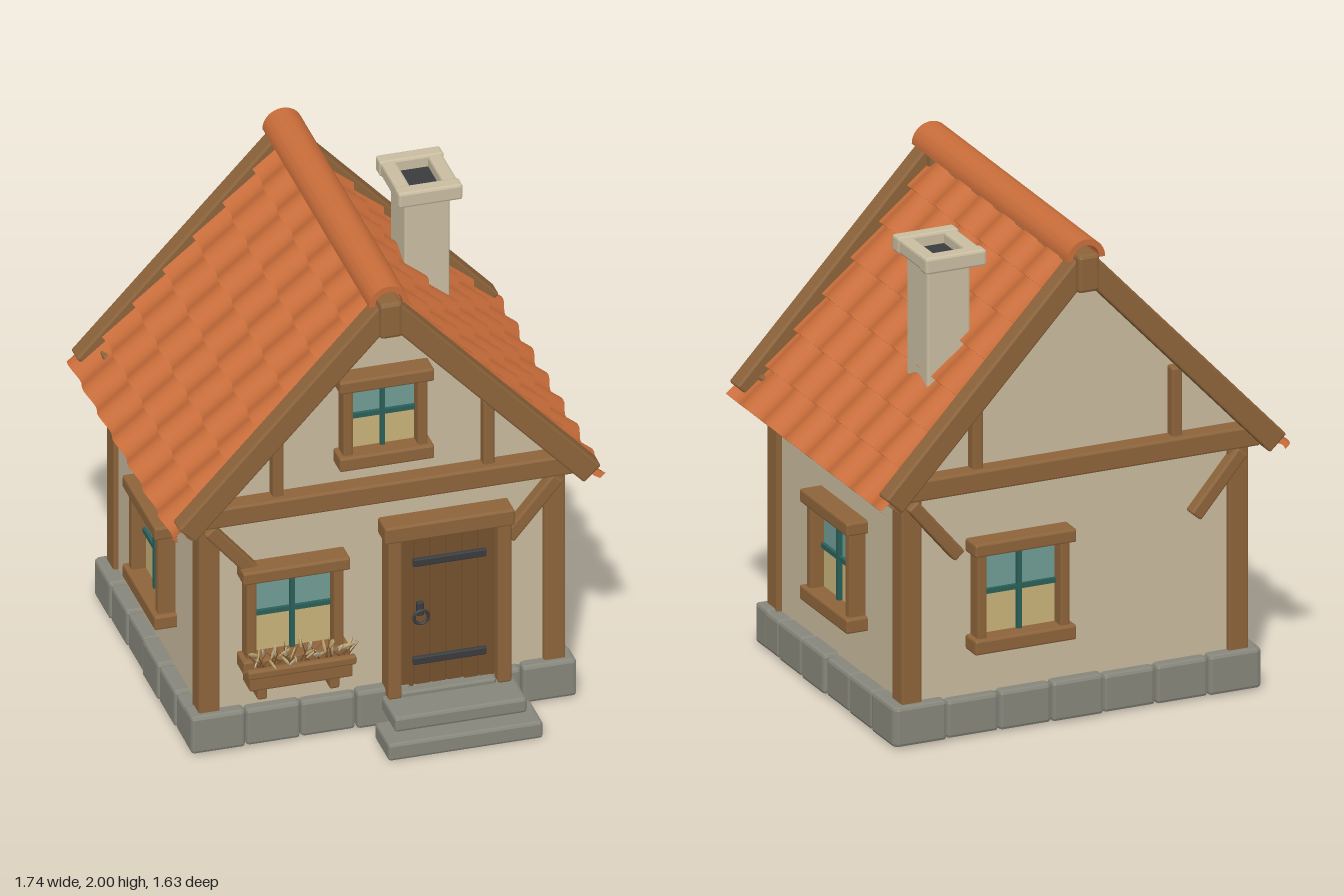
import * as THREE from 'three';
import { toCreasedNormals } from 'three/addons/utils/BufferGeometryUtils.js';
import { RoundedBoxGeometry } from 'three/addons/geometries/RoundedBoxGeometry.js';

const material = (name, color) => {
  const m = new THREE.MeshStandardMaterial({ color });
  m.name = name;
  return m;
};
const M = {
  timber: material('timber', 0x8d643a),
  door: material('dark wood', 0x74502e),
  tile: material('roof tile', 0xc96d3a),
  plaster: material('plaster', 0xc8b99c),
  stone: material('grey stone', 0x87867b),
  chimney: material('pale stone', 0xc9bda1),
  glass: material('glass', 0x6f9c94),
  curtain: material('curtain', 0xc8b27a),
  glazing: material('glazing bar', 0x2b6059),
  iron: material('iron', 0x3a3b3e),
};
M.tile.side = THREE.DoubleSide;

const MID = -0.08;        // z of the house centre
const PITCH = 0.818;      // roof slope angle
const ROOF_Y = 1.9;       // height where the two slopes meet
const ROOF_LEN = 1.235;

function group(parent, name, x = 0, y = 0, z = 0) {
  const g = new THREE.Group();
  g.name = name;
  g.position.set(x, y, z);
  parent.add(g);
  return g;
}
function add(parent, name, geometry, mat) {
  const mesh = new THREE.Mesh(geometry, mat);
  mesh.name = name;
  parent.add(mesh);
  return mesh;
}
// Box given by its limits; bevel > 0 chamfers the edges
function box(parent, name, mat, [x0, x1], [y0, y1], [z0, z1], bevel = 0.008) {
  const s = [x1 - x0, y1 - y0, z1 - z0];
  const geo = bevel ? new RoundedBoxGeometry(...s, 1, bevel) : new THREE.BoxGeometry(...s);
  if (bevel) geo.computeVertexNormals();
  const mesh = add(parent, name, geo, mat);
  mesh.position.set((x0 + x1) / 2, (y0 + y1) / 2, (z0 + z1) / 2);
  return mesh;
}
// Range on the front (e = 1) or back (e = -1) end, measured from the centre
const zEnd = (e, a, b) => (e > 0 ? [MID + a, MID + b] : [MID - b, MID - a]);

// Window facing +z, centred on x, standing on its sill
function addWindow(parent, name, w, h, x, y, z, turn = 0) {
  const g = group(parent, name, x, y, z);
  g.rotation.y = turn;
  const o = w / 2, j = o - 0.02, i = o - 0.06, mid = 0.06 + (h - 0.115) * 0.5;
  box(g, 'sill', M.timber, [-o, o], [0, 0.06], [-0.02, 0.09]);
  box(g, 'head', M.timber, [-o, o], [h - 0.055, h], [-0.02, 0.09]);
  for (const s of [-1, 1])
    box(g, 'jamb', M.timber, s < 0 ? [-j, -i] : [i, j], [0.05, h - 0.05], [-0.02, 0.07]);
  box(g, 'curtain', M.curtain, [-i, i], [0.05, mid], [0.005, 0.012], 0);
  box(g, 'pane', M.glass, [-i, i], [mid, h - 0.05], [0.005, 0.012], 0);
  box(g, 'uprightBar', M.glazing, [-0.009, 0.009], [0.05, h - 0.05], [0.005, 0.03], 0);
  box(g, 'crossBar', M.glazing, [-i, i], [mid - 0.008, mid + 0.012], [0.005, 0.026], 0);
}

// Wavy stepped sheet of tiles for one slope
function tileSheet(s) {
  const rows = 7, cols = 84, z0 = -0.785, z1 = 0.62, pos = [], idx = [];
  const profile = [];
  for (let r = 0; r < rows; r++)
    profile.push([r * ROOF_LEN / rows, 0], [(r + 1) * ROOF_LEN / rows, 0.025]);
  profile.push([ROOF_LEN, -0.004]);
  for (const [t, n] of profile)
    for (let c = 0; c <= cols; c++) {
      const z = z0 + (z1 - z0) * c / cols;
      pos.push(s * t, n + 0.013 * Math.cos((z + 0.15) * Math.PI * 2 / 0.2), z);
    }
  for (let p = 0; p < profile.length - 1; p++)
    for (let c = 0; c < cols; c++) {
      const a = p * (cols + 1) + c, b = a + 1, d = a + cols + 1, e = d + 1;
      if (s > 0) idx.push(a, b, d, b, e, d);
      else idx.push(a, d, b, b, d, e);
    }
  const geo = new THREE.BufferGeometry();
  geo.setAttribute('position', new THREE.Float32BufferAttribute(pos, 3));
  geo.setIndex(idx);
  return toCreasedNormals(geo, 0.6);
}

function addRoof(house) {
  const roof = group(house, 'roof');
  for (const s of [-1, 1]) {
    const slope = group(roof, s > 0 ? 'leftSlope' : 'rightSlope', 0, ROOF_Y);
    slope.rotation.z = -s * PITCH;
    const span = (a, b) => (s > 0 ? [a, b] : [-b, -a]);
    add(slope, 'tiles', tileSheet(s), M.tile);
    box(slope, 'deck', M.timber, span(0, 1.2), [-0.042, -0.015], [-0.77, 0.61], 0);
    for (const e of [-1, 1])
      box(slope, 'bargeBoard', M.timber, span(0, 1.19), [-0.047, 0.048], zEnd(e, 0.635, 0.715));
  }
  // Half-round ridge cap
  const arc = new THREE.Shape();
  arc.absarc(0, 0, 0.08, 0, Math.PI, false);
  arc.absarc(0, 0, 0.056, Math.PI, 0, true);
  const cap = new THREE.ExtrudeGeometry(arc, { depth: 1.41, bevelEnabled: false, curveSegments: 14 });
  add(roof, 'ridgeCap', toCreasedNormals(cap, 0.6), M.tile).position.set(0, 1.92, -0.79);
}

function addFoundation(house) {
  const base = group(house, 'foundation');
  box(base, 'core', M.stone, [-0.74, 0.74], [0.015, 0.16], [-0.68, 0.52], 0);
  const row = (n, a, b, make) => {
    for (let i = 0; i < n; i++) {
      const step = (b - a) / n;
      make([a + i * step + 0.002, a + (i + 1) * step - 0.002], (i % 3) * 0.004);
    }
  };
  for (const e of [-1, 1]) {
    row(7, -0.775, 0.775, (r, k) =>
      box(base, 'block', M.stone, r, [0.008, 0.172 - k], zEnd(e, 0.53, 0.64 - k), 0.014));
    row(6, -0.715, 0.555, (r, k) =>
      box(base, 'block', M.stone, e > 0 ? [0.66, 0.78 - k] : [-0.78 + k, -0.66], [0.008, 0.172 - k], r, 0.014));
  }
  box(base, 'lowerStep', M.stone, [-0.06, 0.56], [0, 0.075], [0.63, 0.815], 0.012);
  box(base, 'upperStep', M.stone, [-0.01, 0.52], [0.075, 0.14], [0.52, 0.735], 0.012);
  box(base, 'threshold', M.stone, [0.06, 0.44], [0.13, 0.16], [0.5, 0.59]);
}

function addFrame(house) {
  const frame = group(house, 'timberFrame');
  for (const e of [-1, 1]) {
    box(frame, 'tieBeam', M.timber, [-0.76, 0.76], [1.015, 1.1], zEnd(e, 0.57, 0.665));
    box(frame, 'kingBlock', M.timber, [-0.045, 0.045], [1.79, 1.945], zEnd(e, 0.6, 0.74), 0.014);
    for (const s of [-1, 1]) {
      const side = (a, b) => (s > 0 ? [a, b] : [-b, -a]);
      box(frame, 'cornerPost', M.timber, side(0.65, 0.735), [0.15, 1.04], zEnd(e, 0.52, 0.612));
      box(frame, 'gableStud', M.timber, side(0.4, 0.445), [1.09, 1.38], zEnd(e, 0.57, 0.635));
      const brace = box(frame, 'brace', M.timber, side(0.445, 0.755), [0.845, 0.9], zEnd(e, 0.58, 0.64));
      brace.rotation.z = s * 0.87;
    }
  }
}

function addDoor(house) {
  const door = group(house, 'door');
  for (const x of [0.005, 0.445])
    box(door, 'jamb', M.timber, [x, x + 0.055], [0.14, 0.86], [0.5, 0.598]);
  box(door, 'lintel', M.timber, [-0.01, 0.51], [0.838, 0.91], [0.5, 0.605]);
  for (let i = 0; i < 6; i++) {
    const x = 0.06 + i * 0.0642;
    box(door, 'plank', M.door, [x, x + 0.0635], [0.15, 0.84], [0.51, 0.55], 0.006);
  }
  for (const y of [0.258, 0.695])
    box(door, 'strapHinge', M.iron, [0.115, 0.41], [y, y + 0.034], [0.545, 0.565], 0.005);
  box(door, 'handlePlate', M.iron, [0.13, 0.158], [0.475, 0.535], [0.545, 0.565], 0.005);
  add(door, 'ringHandle', new THREE.TorusGeometry(0.029, 0.007, 6, 16), M.iron).position.set(0.144, 0.475, 0.572);
}

function addPlanter(house) {
  const planter = group(house, 'flowerBox');
  box(planter, 'trough', M.timber, [-0.57, -0.155], [0.31, 0.375], [0.56, 0.66]);
  box(planter, 'rim', M.timber, [-0.58, -0.145], [0.37, 0.408], [0.645, 0.675]);
  for (const x of [-0.51, -0.22])
    box(planter, 'bracket', M.timber, [x - 0.02, x + 0.02], [0.25, 0.32], [0.5, 0.63]);
  // Sprigs of thin stems and flattened leaves
  let seed = 7;
  const rnd = () => (seed = (seed * 16807) % 2147483647) / 2147483647;
  const stem = new THREE.ConeGeometry(0.004, 0.1, 4).translate(0, 0.05, 0);
  const leaf = new THREE.SphereGeometry(1, 6, 4).scale(0.011, 0.03, 0.004).translate(0, 0.03, 0);
  for (let i = 0; i < 26; i++) {
    const x = -0.55 + 0.375 * i / 25, tilt = (rnd() - 0.5) * 2, z = 0.6 + rnd() * 0.05;
    const a = add(planter, 'stem', stem, M.door);
    a.position.set(x, 0.39, z);
    a.rotation.set((rnd() - 0.3) * 0.5, 0, tilt);
    const b = add(planter, 'leaf', leaf, i % 3 ? M.curtain : M.chimney);
    b.position.set(x, 0.4 + rnd() * 0.06, z + 0.012);
    b.rotation.set(rnd() * 0.5, rnd() * 2, tilt * 1.6);
  }
}

function addChimney(house) {
  const c = group(house, 'chimney');
  box(c, 'shaft', M.chimney, [0.325, 0.507], [1.3, 1.85], [-0.435, -0.245]);
  box(c, 'flue', M.iron, [0.335, 0.49], [1.848, 1.856], [-0.44, -0.25], 0);
  for (const z of [-0.5, -0.25])
    box(c, 'capEnd', M.chimney, [0.285, 0.543], [1.838, 1.905], [z, z + 0.062], 0.01);
  for (const x of [0.29, 0.478])
    box(c, 'capSide', M.chimney, [x, x + 0.06], [1.84, 1.9], [-0.45, -0.24], 0.01);
}

export function createModel() {
  const house = new THREE.Group();
  house.name = 'cottage';
  // Walls with both gables
  const outline = new THREE.Shape([[-0.715, 0.1], [0.715, 0.1], [0.715, 1.085], [0, 1.85], [-0.715, 1.085]]
    .map(([x, y]) => new THREE.Vector2(x, y)));
  add(house, 'walls', new THREE.ExtrudeGeometry(outline, { depth: 1.18, bevelEnabled: false }), M.plaster)
    .position.z = MID - 0.59;
  addFoundation(house);
  addFrame(house);
  addRoof(house);
  addDoor(house);
  addWindow(house, 'frontWindow', 0.43, 0.455, -0.362, 0.35, 0.51);
  addWindow(house, 'gableWindow', 0.38, 0.4, 0, 1.19, 0.51);
  addWindow(house, 'backWindow', 0.43, 0.455, 0.24, 0.35, -0.67, Math.PI);
  addWindow(house, 'leftWindow', 0.43, 0.455, 0.715, 0.35, -0.125, Math.PI / 2);
  addWindow(house, 'rightWindow', 0.43, 0.455, -0.715, 0.35, -0.04, -Math.PI / 2);
  addPlanter(house);
  addChimney(house);
  return house;
}
